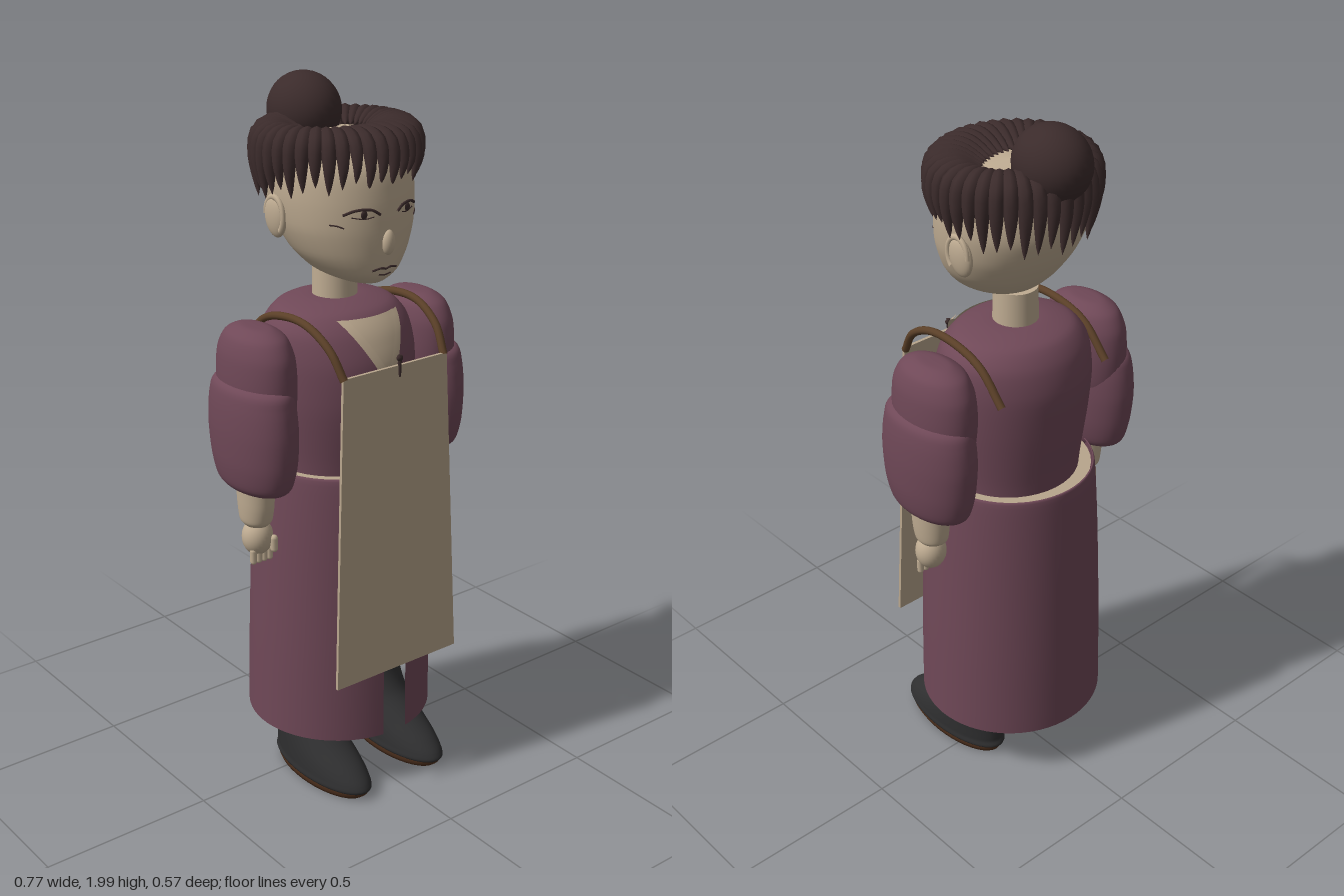
import * as THREE from 'three';

const mat = (name, color, side = THREE.FrontSide) => {
  const m = new THREE.MeshStandardMaterial({ color, side });
  m.name = name;
  return m;
};
const M = {
  skin: mat('skin', 0xbfac92),
  linen: mat('linen', 0xb8a58c, THREE.DoubleSide),
  dress: mat('plum cloth', 0x6f4857, THREE.DoubleSide),
  hair: mat('dark brown hair', 0x3b2b2b),
  boot: mat('charcoal leather', 0x2f2f30),
  strap: mat('brown leather', 0x5b4028),
  sole: mat('sole brown', 0x4f311e),
};

function add(parent, name, geometry, material, x = 0, y = 0, z = 0) {
  const mesh = new THREE.Mesh(geometry, material);
  mesh.name = name;
  mesh.position.set(x, y, z);
  parent.add(mesh);
  return mesh;
}

// Rows are [y, half width, front z, back z]; returns them smoothed.
function smoothRows(rows, steps = 5) {
  const ys = new THREE.CatmullRomCurve3(rows.map(r => new THREE.Vector3(r[0], 0, 0)), false, 'catmullrom', 0.4);
  const ss = new THREE.CatmullRomCurve3(rows.map(r => new THREE.Vector3(r[1], r[2], r[3])), false, 'catmullrom', 0.4);
  const n = (rows.length - 1) * steps;
  return Array.from({ length: n + 1 }, (_, i) => {
    const s = ss.getPoint(i / n);
    return [ys.getPoint(i / n).x, Math.max(s.x, 0), s.y, s.z];
  });
}

// Skin of stacked ellipses, optionally with a slit at the front.
function loft(rows, slit = 0, seg = 40) {
  const pos = [], idx = [], cols = slit ? seg + 1 : seg;
  rows.forEach(([y, rx, zf, zb]) => {
    for (let j = 0; j < cols; j++) {
      const a = slit + (j / seg) * (Math.PI * 2 - slit * 2);
      pos.push(rx * Math.sin(a), y, (zf + zb) / 2 + (zf - zb) / 2 * Math.cos(a));
    }
  });
  for (let i = 0; i < rows.length - 1; i++) for (let j = 0; j < seg; j++) {
    const k = (j + 1) % cols, a = i * cols + j, b = i * cols + k;
    idx.push(a, b, b + cols, a, b + cols, a + cols);
  }
  const g = new THREE.BufferGeometry();
  g.setAttribute('position', new THREE.Float32BufferAttribute(pos, 3));
  g.setIndex(idx);
  g.computeVertexNormals();
  return g;
}

// Front z of a lofted body at (x, y).
function frontZ(rows, x, y) {
  let i = rows.findIndex(r => r[0] >= y);
  i = i < 0 ? rows.length - 1 : Math.max(i, 1);
  const t = (y - rows[i - 1][0]) / (rows[i][0] - rows[i - 1][0] || 1);
  const [rx, zf, zb] = [1, 2, 3].map(k => rows[i - 1][k] + (rows[i][k] - rows[i - 1][k]) * t);
  return (zf + zb) / 2 + (zf - zb) / 2 * Math.sqrt(Math.max(0, 1 - (x / rx) ** 2));
}

// Thin cloth laid on the front of a body; ends are [y, centre x, half width].
function patch(rows, a, b, off) {
  const g = new THREE.PlaneGeometry(2, 1, 8, 14), p = g.attributes.position;
  for (let i = 0; i < p.count; i++) {
    const [y, c, w] = a.map((v, k) => v + (b[k] - v) * (p.getY(i) + 0.5));
    const x = c + p.getX(i) * w;
    p.setXYZ(i, x, y, frontZ(rows, x, y) + off);
  }
  g.computeVertexNormals();
  return g;
}

const curve = pts => new THREE.CatmullRomCurve3(pts.map(p => new THREE.Vector3(...p)));

// Tube whose thickness follows a rule along its length.
function taperedTube(path, radius, n = 14, sides = 8) {
  const g = new THREE.TubeGeometry(path, n, 1, sides), p = g.attributes.position;
  const v = new THREE.Vector3();
  for (let i = 0; i <= n; i++) {
    const c = path.getPointAt(i / n), r = radius(i / n);
    for (let j = 0; j <= sides; j++) {
      const k = i * (sides + 1) + j;
      v.fromBufferAttribute(p, k).sub(c).multiplyScalar(r).add(c);
      p.setXYZ(k, v.x, v.y, v.z);
    }
  }
  return g;
}

const ball = (rx, ry, rz) => new THREE.SphereGeometry(1, 28, 20).scale(rx, ry, rz);

const HEAD = smoothRows([[1.486, 0, .09, .09], [1.49, .05, .15, -.01], [1.52, .108, .182, -.08], [1.57, .152, .193, -.135],
  [1.64, .183, .199, -.185], [1.72, .195, .197, -.222], [1.80, .188, .182, -.222], [1.85, .14, .13, -.17], [1.868, 0, -.02, -.02]]);
const TORSO = smoothRows([[.93, .19, .16, -.195], [1.0, .195, .17, -.202], [1.15, .212, .192, -.222], [1.27, .217, .188, -.23],
  [1.35, .207, .158, -.212], [1.40, .165, .115, -.175], [1.42, .09, .05, -.11], [1.422, 0, -.03, -.03]]);

function buildHead() {
  const head = new THREE.Group();
  head.name = 'head';
  add(head, 'skull', loft(HEAD), M.skin);
  add(head, 'neck', new THREE.CylinderGeometry(.06, .063, .13, 28), M.skin, 0, 1.45, -.03);
  add(head, 'nose', ball(.019, .034, .016), M.skin, 0, 1.61, .197);

  // Face lines follow the surface of the skull.
  const line = (name, pts, r = .003) => add(head, name,
    new THREE.TubeGeometry(curve(pts.map(([x, y]) => [x, y, frontZ(HEAD, x, y) + .001])), 12, r, 6), M.hair);
  for (const s of [1, -1]) {
    line('upperLid', [[s * .028, 1.687], [s * .05, 1.701], [s * .09, 1.702], [s * .118, 1.69]], .004);
    line('lowerLid', [[s * .045, 1.683], [s * .07, 1.679], [s * .1, 1.684]], .0015);
    add(head, 'iris', ball(.011, .011, .004), M.hair, s * .07, 1.69, frontZ(HEAD, s * .07, 1.69));
    line('cheekLine', [[s * .115, 1.656], [s * .128, 1.662], [s * .142, 1.664]], .002);
    const ear = add(head, 'ear', ball(.018, .056, .041), M.skin, s * .19, 1.66, -.035);
    ear.rotation.z = -s * .08;
    const rim = add(head, 'earRim', new THREE.TorusGeometry(.038, .007, 8, 20, 4), M.skin, s * .197, 1.665, -.03);
    rim.rotation.y = Math.PI / 2;
    rim.scale.y = 1.3;
  }
  line('upperLip', [[-.04, 1.535], [-.012, 1.541], [0, 1.537], [.012, 1.541], [.04, 1.535]]);
  line('lowerLip', [[-.02, 1.523], [0, 1.52], [.02, 1.523]], .002);
  return head;
}

function buildHair() {
  const hair = new THREE.Group();
  hair.name = 'hair';
  add(hair, 'bun', ball(.096, .102, .11), M.hair, 0, 1.898, -.162);
  // Arched locks radiating from the crown.
  const count = 38;
  for (let i = 0; i < count; i++) {
    const a = (i + .5) / count * Math.PI * 2, c = Math.sin(a), s = Math.cos(a);
    const tip = 1.725 + .035 * s + (i % 3 - 1) * .012;
    const at = (f, y) => [(.1 + .115 * f) * c, y, -.03 + .012 * f + (.055 + .155 * f) * s];
    const path = curve([at(0, 1.862), at(.55, 1.884), at(.92, 1.868), at(1.03, 1.815), at(.96, tip)]);
    add(hair, 'lock', taperedTube(path, t => .0205 * Math.sin(Math.PI * Math.min(1, t ** .85)) ** .75 + .0005), M.hair);
  }
  return hair;
}

function buildArm(s) {
  const arm = new THREE.Group();
  arm.name = s > 0 ? 'leftArm' : 'rightArm';
  add(arm, 'upperSleeve', loft(smoothRows([[1.08, .05, .07, -.1], [1.14, .08, .115, -.145], [1.23, .088, .125, -.158],
    [1.31, .084, .118, -.152], [1.36, .068, .09, -.125], [1.383, .035, .045, -.08], [1.386, 0, -.018, -.018]])), M.dress, s * .274);
  add(arm, 'lowerSleeve', loft(smoothRows([[.93, 0, -.01, -.01], [.932, .055, .09, -.11], [.955, .078, .128, -.148], [1.02, .09, .147, -.167],
    [1.11, .094, .152, -.176], [1.19, .09, .142, -.168], [1.235, .075, .118, -.142], [1.255, 0, -.015, -.015]])), M.dress, s * .291);
  add(arm, 'forearm', loft(smoothRows([[.82, .032, .03, -.045], [.835, .042, .042, -.06], [.88, .047, .05, -.066], [.95, .05, .052, -.07]])), M.skin, s * .29);
  add(arm, 'hand', ball(.044, .054, .043), M.skin, s * .29, .782, -.004);
  for (let i = 0; i < 4; i++)
    add(arm, 'finger', new THREE.CapsuleGeometry(.0095, .03, 4, 10), M.skin, s * (.262 + i * .018), .732, .012);
  add(arm, 'thumb', new THREE.CapsuleGeometry(.011, .03, 4, 10), M.skin, s * .262, .765, .035);
  return arm;
}

function buildLeg(s) {
  const leg = new THREE.Group();
  leg.name = s > 0 ? 'leftLeg' : 'rightLeg';
  leg.position.x = s * .135;
  add(leg, 'boot', loft(smoothRows([[.025, 0, .08, .08], [.026, .078, .272, -.103], [.05, .082, .28, -.108], [.085, .081, .24, -.108],
    [.13, .078, .165, -.106], [.18, .074, .1, -.1], [.26, .07, .068, -.095], [.45, .075, .07, -.095], [.55, .075, .07, -.095]])), M.boot);
  add(leg, 'sole', loft([[.006, 0, .08, .08], [.006, .076, .262, -.098], [.018, .081, .276, -.105], [.03, .081, .276, -.105]]), M.sole);
  return leg;
}

function buildDress() {
  const dress = new THREE.Group();
  dress.name = 'dress';
  add(dress, 'bodice', loft(TORSO), M.dress);
  add(dress, 'skirt', loft(smoothRows([[.172, .268, .25, -.278], [.45, .262, .247, -.272], [.75, .25, .236, -.26], [.95, .237, .222, -.248], [.968, .228, .212, -.24]]), .15, 60), M.dress);
  add(dress, 'waistLining', loft([[.958, .224, .2, -.236], [.958, .15, .13, -.15]]), M.linen);
  // Neck opening, lapels and the shirt front below.
  add(dress, 'shirtNeck', patch(TORSO, [1.24, 0, .002], [1.392, 0, .09], .006), M.linen);
  add(dress, 'shirtFront', patch(TORSO, [.99, 0, .03], [1.26, 0, .06], .01), M.linen);
  for (const s of [1, -1])
    add(dress, 'lapel', patch(TORSO, [1.25, s * .01, .013], [1.394, s * .088, .013], .014), M.linen);
  return dress;
}

function buildApron() {
  const apron = new THREE.Group();
  apron.name = 'apron';
  // Flat panel, wider and further forward at the hem.
  const g = new THREE.BoxGeometry(2, 1, .009), p = g.attributes.position;
  for (let i = 0; i < p.count; i++) {
    const t = p.getY(i) + .5;
    p.setXYZ(i, p.getX(i) * (.213 - .037 * t), .385 + .897 * t, p.getZ(i) + .253 - .022 * t);
  }
  g.computeVertexNormals();
  add(apron, 'panel', g, M.linen);
  for (const s of [1, -1])
    add(apron, 'strap', new THREE.TubeGeometry(curve([[s * .17, 1.275, .23], [s * .18, 1.345, .185], [s * .187, 1.392, .1],
      [s * .187, 1.395, 0], [s * .187, 1.365, -.1], [s * .187, 1.28, -.185]]), 32, .011, 10), M.strap);
  const pin = add(apron, 'clasp', new THREE.CylinderGeometry(.006, .004, .06, 10), M.hair, .012, 1.28, .235);
  add(pin, 'claspHead', ball(.01, .009, .007), M.hair, 0, .022, 0);
  return apron;
}

export function createModel() {
  const model = new THREE.Group();
  model.name = 'womanWithApron';
  model.add(buildHead(), buildHair(), buildDress(), buildApron());
  for (const s of [1, -1]) model.add(buildArm(s), buildLeg(s));
  return model;
}
